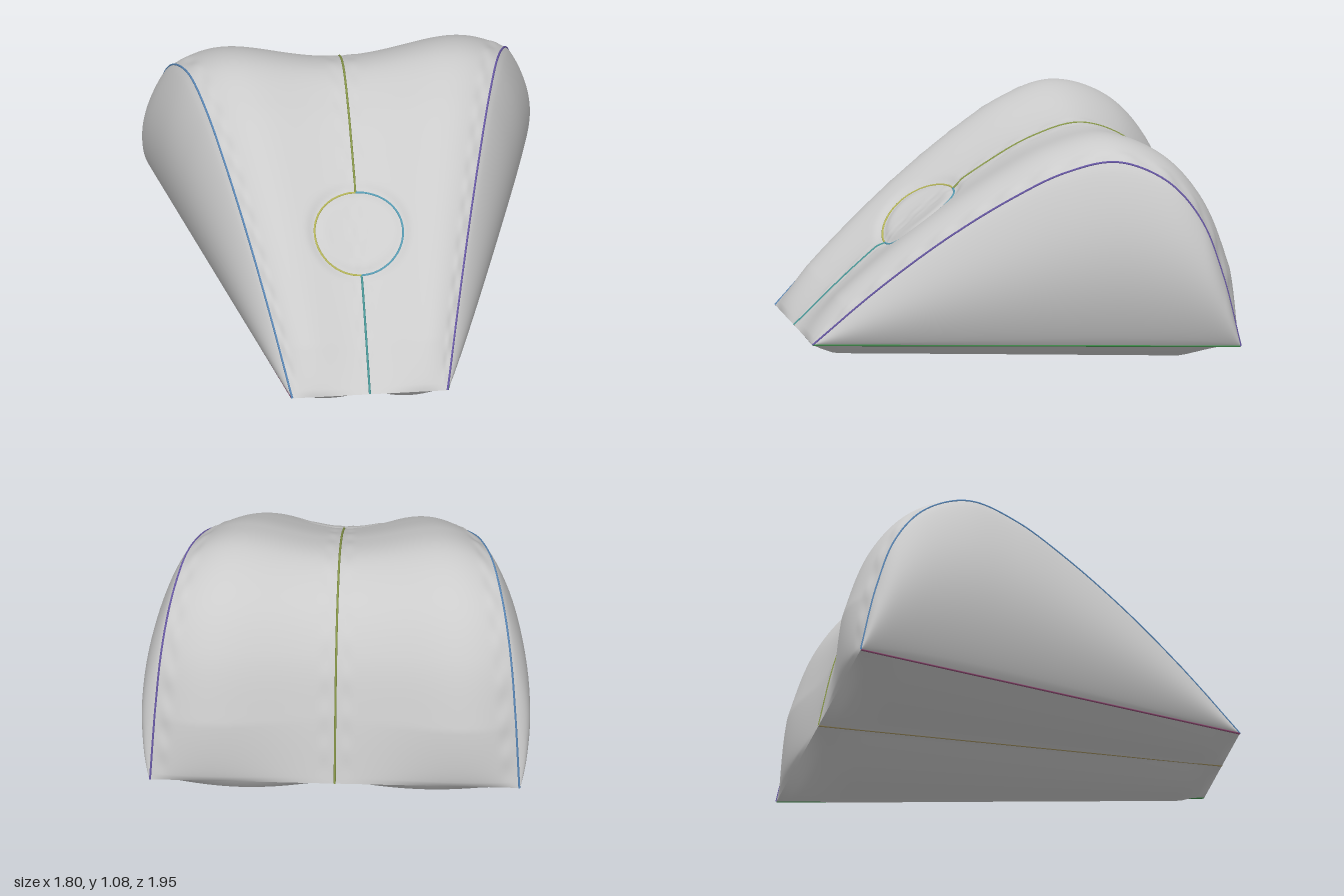
import * as THREE from 'three';

const FRONT = 0.985, BACK = -0.93, HEM = 0.14;

// Half width of the cushion, tapering from back to front
const halfWidth = (z) => 0.36 + 0.258 * (FRONT - z);

// Side outline followed by the seams, from the front hem over the crest to the back hem
const outline = new THREE.CatmullRomCurve3([
  [FRONT, HEM], [0.7, 0.40], [0.4, 0.64], [0.1, 0.84], [-0.15, 0.97], [-0.38, 1.02],
  [-0.6, 0.93], [-0.75, 0.75], [-0.85, 0.48], [BACK, HEM],
].map(([z, y]) => new THREE.Vector3(0, y, z)));
outline.arcLengthDivisions = 600;

const ringCentre = new THREE.Vector3(0, 0.65, 0.4);
const ringRadius = 0.205;
const fade = (t, a, b) => Math.sqrt(Math.min(1, t * a, (1 - t) * b));

// Upper panel: two long lobes either side of the middle seam, with a round inset
function topPoint(u, t) {
  const p = outline.getPointAt(t), d = outline.getTangentAt(t);
  const a = Math.abs(u);
  let puff = (0.045 + 0.035 * t) * fade(t, 12, 9) * Math.sin(Math.PI * Math.pow(a, 1.8));
  if (u < 0) puff *= 1 + 0.3 * Math.max(0, t - 0.6);
  const x = u * halfWidth(p.z);
  // gathers beside the seams
  const gather = Math.exp(-(((a - 0.94) / 0.03) ** 2)) + 0.5 * Math.exp(-(((a - 0.06) / 0.03) ** 2));
  puff += 0.005 * Math.sin(95 * t) * gather * fade(t, 12, 12);
  // stitched groove around the inset
  const r = Math.hypot(x, p.y - ringCentre.y, p.z - ringCentre.z) / ringRadius;
  puff -= 0.014 * Math.exp(-(((r - 1) / 0.14) ** 2));
  return new THREE.Vector3(x, p.y - d.z * puff, p.z + d.y * puff);
}

// Side panel: bulges most where it is tallest
function sidePoint(side, s, v) {
  const p = outline.getPointAt(s);
  const h = Math.max(0, p.y - HEM);
  const bulge = 0.12 * Math.pow(h / 0.88, 0.8) * Math.pow(Math.max(0, Math.sin(Math.PI * v)), 0.8);
  return new THREE.Vector3(side * (halfWidth(p.z) + bulge), HEM + h * v, p.z);
}

// Underside: two sagging lobes with a crease between them
function basePoint(u, v) {
  const z = FRONT + (BACK - FRONT) * v;
  const sag = (0.08 + 0.062 * v) * fade(v, 14, 9) * Math.sin(Math.PI * Math.abs(u)) * (u < 0 ? 0.8 : 1);
  return new THREE.Vector3(u * halfWidth(z), HEM - sag, z);
}

// Surface from a point function over a regular grid
function panel(name, fn, nu, nv, flip = false) {
  const pos = [], index = [];
  for (let j = 0; j <= nv; j++) {
    for (let i = 0; i <= nu; i++) pos.push(...fn(i / nu, j / nv).toArray());
  }
  for (let j = 0; j < nv; j++) {
    for (let i = 0; i < nu; i++) {
      const a = j * (nu + 1) + i, b = a + 1, c = a + nu + 1, d = c + 1;
      if (flip) index.push(a, c, b, b, c, d);
      else index.push(a, b, c, b, d, c);
    }
  }
  const geo = new THREE.BufferGeometry();
  geo.setAttribute('position', new THREE.Float32BufferAttribute(pos, 3));
  geo.setIndex(index);
  geo.computeVertexNormals();
  const mesh = new THREE.Mesh(geo, new THREE.MeshStandardMaterial({ color: 0xcccccc, side: THREE.DoubleSide }));
  mesh.name = name;
  return mesh;
}

// Thin thread laid along a seam
function thread(name, color, fn, closed = false) {
  const n = 60, pts = [];
  for (let i = 0; i < (closed ? n : n + 1); i++) pts.push(fn(i / n));
  const geo = new THREE.TubeGeometry(new THREE.CatmullRomCurve3(pts, closed), 120, 0.005, 6, closed);
  const mesh = new THREE.Mesh(geo, new THREE.MeshStandardMaterial({ color }));
  mesh.name = name;
  return mesh;
}

// Parameter on the outline where it reaches depth z
function outlineAt(z) {
  let lo = 0, hi = 1;
  for (let i = 0; i < 30; i++) {
    const mid = (lo + hi) / 2;
    if (outline.getPointAt(mid).z > z) lo = mid; else hi = mid;
  }
  return lo;
}

export function createModel() {
  const group = new THREE.Group();
  group.name = 'cushion';

  group.add(panel('upperPanel', (u, t) => topPoint(2 * u - 1, t), 120, 180));
  group.add(panel('basePanel', (u, v) => basePoint(2 * u - 1, v), 60, 60, true));
  for (const side of [1, -1]) {
    const label = side > 0 ? 'left' : 'right';
    group.add(panel(label + 'SidePanel', (s, v) => sidePoint(side, s, v), 180, 40, side < 0));
    group.add(thread(label + 'UpperSeam', side > 0 ? 0x6a5aa8 : 0x5a88b8, (t) => topPoint(side, t)));
    group.add(thread(label + 'BaseSeam', side > 0 ? 0x3f8a4a : 0x8a4a70, (v) => basePoint(side, v)));
  }

  // Middle seam, interrupted by the round inset
  const tLow = outlineAt(0.56), tHigh = outlineAt(0.235);
  group.add(thread('frontMiddleSeam', 0x4a9a9a, (t) => topPoint(0, t * tLow)));
  group.add(thread('backMiddleSeam', 0x8a9a4a, (t) => topPoint(0, tHigh + t * (1 - tHigh))));
  group.add(thread('baseMiddleSeam', 0x9a8a5a, (v) => basePoint(0, v)));

  // Round inset seam in two colours
  const tMid = (tLow + tHigh) / 2, tHalf = (tHigh - tLow) / 2;
  for (const side of [1, -1]) {
    group.add(thread(side > 0 ? 'leftInsetSeam' : 'rightInsetSeam', side > 0 ? 0x5aa0b8 : 0xb8b85a, (k) => {
      const a = Math.PI * k, t = tMid - tHalf * Math.cos(a);
      return topPoint(side * ringRadius * Math.sin(a) / halfWidth(outline.getPointAt(t).z), t);
    }));
  }
  return group;
}
